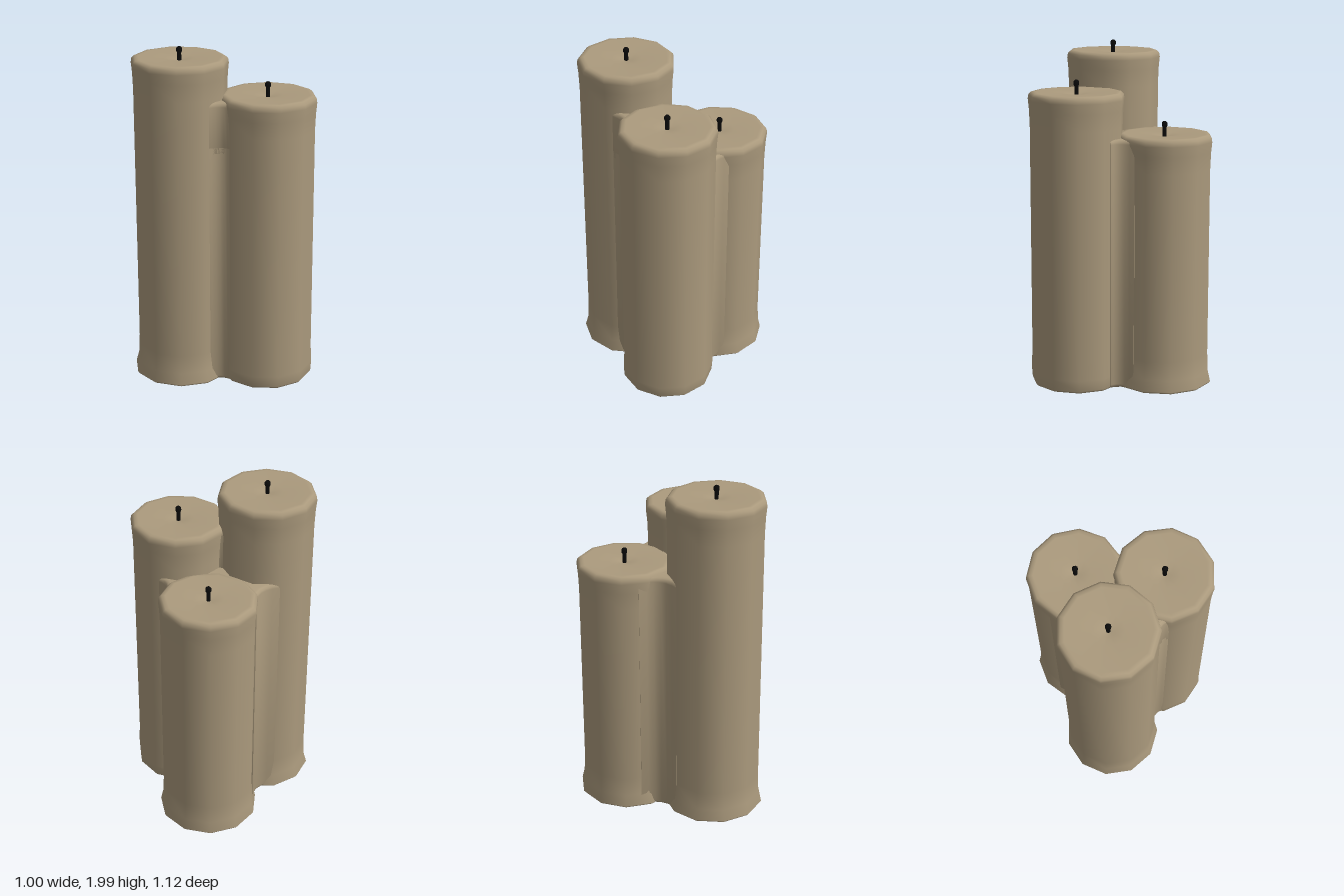
import * as THREE from 'three';
import { toCreasedNormals } from 'three/addons/utils/BufferGeometryUtils.js';

// x, z, wax height, wick tip, angle of the first corner (degrees from +x toward +z), flare of the base
const CANDLES = [
  { name: 'tallCandle', x: -0.2, z: 0.27, top: 1.94, tip: 2.0, turn: 20, flare: 0.295 },
  { name: 'middleCandle', x: 0.225, z: 0, top: 1.74, tip: 1.81, turn: 5, flare: 0.272 },
  { name: 'shortCandle', x: -0.205, z: -0.27, top: 1.5, tip: 1.57, turn: 0, flare: 0.292 },
];
const SIDES = 11;

function lathe(profile, sides, phase = 0) {
  return new THREE.LatheGeometry(profile.map(([r, y]) => new THREE.Vector2(r, y)), sides, phase);
}

// Wax column: flared foot, straight body, soft lip and a shallow dimple at the wick
function waxGeometry({ top, turn, flare }) {
  return lathe([
    [0, 0.01], [flare - 0.05, 0.01], [flare - 0.01, 0.013], [flare, 0.025], [0.277, 0.09],
    [0.272, 0.2], [0.272, top - 0.2], [0.276, top - 0.1], [0.282, top - 0.04],
    [0.278, top - 0.015], [0.262, top], [0.24, top + 0.001], [0.09, top - 0.005],
    [0.04, top - 0.012], [0, top - 0.02],
  ], SIDES, THREE.MathUtils.degToRad(90 - turn));
}

// Wick: thin stem with a slightly thicker rounded tip
function wickGeometry({ top, tip }) {
  return lathe([
    [0.012, top - 0.03], [0.012, tip - 0.035], [0.017, tip - 0.025],
    [0.017, tip - 0.01], [0.01, tip - 0.001], [0, tip],
  ], 10);
}

// Melted wax that fills the gaps: an upright prism with softened rims
function webGeometry(shape, bottom, top) {
  const rim = 0.025;
  const g = new THREE.ExtrudeGeometry(shape, {
    depth: top - bottom - 2 * rim, curveSegments: 6,
    bevelSize: rim, bevelThickness: rim, bevelOffset: -rim, bevelSegments: 3,
  });
  g.rotateX(-Math.PI / 2).translate(0, bottom + rim, 0);
  return toCreasedNormals(g, 0.9);
}

// Filling between all three candles, with a concave fillet in each outer notch
function coreShape() {
  const s = new THREE.Shape();
  s.moveTo(-0.42, -0.11);
  s.quadraticCurveTo(-0.325, 0, -0.42, 0.11);
  s.lineTo(0.05, 0.34);
  s.quadraticCurveTo(0.09, 0.25, 0.16, 0.26);
  s.lineTo(0.16, -0.26);
  s.quadraticCurveTo(0.09, -0.25, 0.05, -0.34);
  s.closePath();
  return s;
}

// Taller fillet between the tall and the middle candle
function upperShape() {
  const s = new THREE.Shape();
  s.moveTo(0.05, -0.34);
  s.quadraticCurveTo(0.09, -0.25, 0.16, -0.26);
  s.lineTo(0.1, -0.06);
  s.lineTo(-0.03, -0.03);
  s.quadraticCurveTo(-0.06, -0.06, -0.12, -0.05);
  s.closePath();
  return s;
}

export function createModel() {
  const wax = new THREE.MeshStandardMaterial({ color: 0xab9a7d });
  wax.name = 'wax';
  const black = new THREE.MeshStandardMaterial({ color: 0x0a0a0a });
  black.name = 'wickBlack';

  const model = new THREE.Group();
  model.name = 'candleCluster';

  const add = (parent, name, geometry, material) => {
    const mesh = new THREE.Mesh(geometry, material);
    mesh.name = name;
    parent.add(mesh);
  };

  for (const c of CANDLES) {
    const candle = new THREE.Group();
    candle.name = c.name;
    candle.position.set(c.x, 0, c.z);
    add(candle, 'waxColumn', waxGeometry(c), wax);
    add(candle, 'wick', wickGeometry(c), black);
    model.add(candle);
  }

  add(model, 'meltedCore', webGeometry(coreShape(), 0.012, 1.485), wax);
  add(model, 'upperFillet', webGeometry(upperShape(), 1.4, 1.72), wax);
  return model;
}
